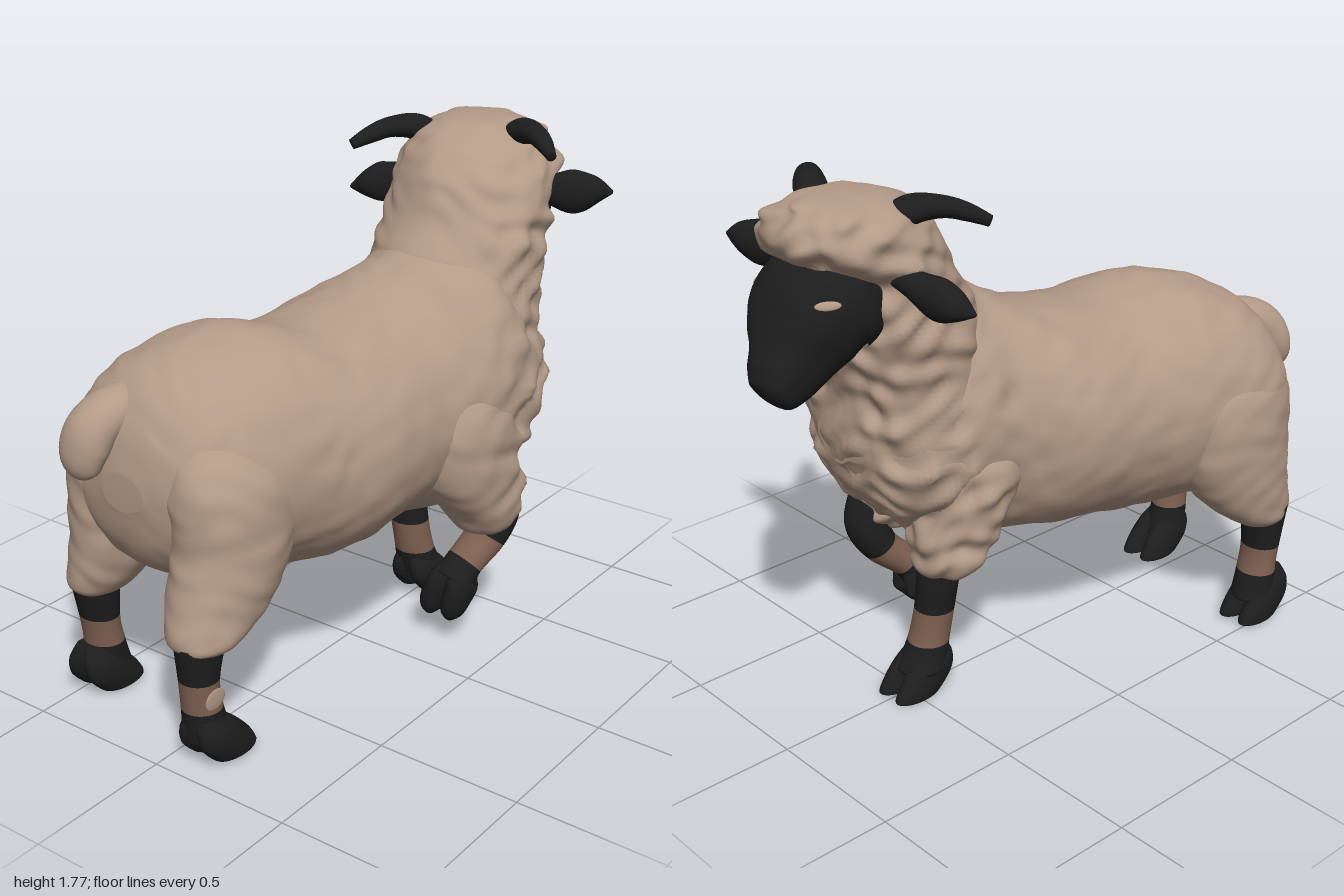
import * as THREE from 'three';

const mat = (name, color) => Object.assign(new THREE.MeshStandardMaterial({ color }), { name });
const V = (x, y, z) => new THREE.Vector3(x, y, z);
const X = V(1, 0, 0), Y = V(0, 1, 0), DOWN = V(0, -1, 0), Z = V(0, 0, 1);

// Woolly relief, strong on chest and crown, faint on the back and nape
function fleece(p) {
  const front = THREE.MathUtils.smoothstep(p.x - 0.3 * Math.max(0, p.y - 1), 0.05, 0.45);
  const a = Math.sin(25 * p.x + 2.2 * Math.sin(19 * p.y + 9 * p.z));
  const b = Math.sin(37 * p.y + 2 * Math.sin(18 * p.z + 6 * p.x));
  const c = Math.sin(33 * p.z + 2 * Math.sin(23 * p.x + 4 * p.y));
  return (0.003 + 0.01 * front) * (a * b + 0.8 * b * c + 0.3 * a);
}

// Smooth skin over elliptical stations [x, y, z, a, b]; b lies along "side", a across it.
// "axis" fixes the ring normal, "parts" gives the material index of each span,
// "full" squares off (below 1) or tapers (above 1) the two halves of each ring.
function loft(stations, { axis = null, side = Z, wool = false, sub = 8, seg = 28, parts = null, full = [1, 1] } = {}) {
  const n = stations.length, rings = (n - 1) * sub + 1;
  const at = (t) => {
    const i = Math.min(Math.floor(t), n - 2), f = t - i;
    const s = (k) => stations[Math.max(0, Math.min(n - 1, k))];
    return stations[0].map((_, k) => {
      const [p, q, r, w] = [s(i - 1)[k], s(i)[k], s(i + 1)[k], s(i + 2)[k]];
      const v = q + 0.5 * f * (r - p + f * (2 * p - 5 * q + 4 * r - w + f * (3 * (q - r) + w - p)));
      return k > 2 ? Math.max(v, 0.004) : v;
    });
  };
  const pos = [], idx = [], geo = new THREE.BufferGeometry();
  for (let i = 0; i < rings; i++) {
    const t = i / sub, c = at(t), p0 = at(Math.max(0, t - 0.05)), p1 = at(Math.min(n - 1, t + 0.05));
    const T = axis ? axis.clone() : V(p1[0] - p0[0], p1[1] - p0[1], p1[2] - p0[2]).normalize();
    const s = side.clone().addScaledVector(T, -side.dot(T)).normalize();
    const u = T.clone().cross(s);
    for (let j = 0; j < seg; j++) {
      const ang = (j / seg) * Math.PI * 2, q = full[ang < Math.PI ? 0 : 1];
      const bend = (v) => Math.sign(v) * Math.abs(v) ** q;
      const d = s.clone().multiplyScalar(c[4] * bend(Math.cos(ang))).addScaledVector(u, c[3] * bend(Math.sin(ang)));
      const p = V(c[0], c[1], c[2]).add(d);
      if (wool) p.addScaledVector(d.normalize(), fleece(p));
      pos.push(p.x, p.y, p.z);
    }
  }
  pos.push(...stations[0].slice(0, 3), ...stations[n - 1].slice(0, 3));
  const first = rings * seg, last = first + 1;
  for (let j = 0; j < seg; j++) idx.push(first, (j + 1) % seg, j);
  for (let i = 0; i < rings - 1; i++) for (let j = 0; j < seg; j++) {
    const k = (j + 1) % seg, a = i * seg, b = a + seg;
    idx.push(a + j, a + k, b + j, a + k, b + k, b + j);
  }
  const e = (rings - 1) * seg;
  for (let j = 0; j < seg; j++) idx.push(last, e + j, e + (j + 1) % seg);
  geo.setAttribute('position', new THREE.Float32BufferAttribute(pos, 3));
  geo.setIndex(idx);
  geo.computeVertexNormals();
  if (parts) {
    const span = sub * seg * 6, cap = seg * 3;
    parts.forEach((m, i) => geo.addGroup(
      i ? cap + i * span : 0, span + (i ? 0 : cap) + (i === parts.length - 1 ? cap : 0), m));
  }
  return geo;
}

export function createModel() {
  const g = new THREE.Group();
  const wool = mat('wool', 0xb39a87), black = mat('black', 0x1d1d1d), brown = mat('brown skin', 0x7e6051);
  const add = (name, geo, m) => {
    const mesh = new THREE.Mesh(geo, m);
    mesh.name = name;
    g.add(mesh);
    return mesh;
  };
  const fleecy = { wool: true, sub: 12, seg: 84 };

  // Barrel of the body, rump to chest
  add('body', loft([
    [-0.915, 0.85, -0.17, 0.06, 0.08],
    [-0.88, 0.85, -0.17, 0.2, 0.23],
    [-0.8, 0.86, -0.17, 0.31, 0.33],
    [-0.66, 0.87, -0.15, 0.38, 0.385],
    [-0.48, 0.875, -0.1, 0.415, 0.4],
    [-0.28, 0.855, -0.025, 0.395, 0.41],
    [0, 0.89, 0.015, 0.4, 0.4],
    [0.18, 0.93, 0.11, 0.45, 0.375],
    [0.3, 0.97, 0.13, 0.46, 0.36],
    [0.42, 0.93, 0.14, 0.37, 0.34],
    [0.54, 0.92, 0.14, 0.24, 0.28],
    [0.63, 0.93, 0.14, 0.08, 0.12],
  ], { ...fleecy, axis: X }), wool);

  // Neck and woolly head cap
  add('neckAndPoll', loft([
    [0.36, 0.62, 0.14, 0.12, 0.2],
    [0.35, 0.76, 0.14, 0.25, 0.33],
    [0.35, 0.97, 0.14, 0.29, 0.34],
    [0.385, 1.15, 0.13, 0.265, 0.305],
    [0.43, 1.33, 0.12, 0.28, 0.295],
    [0.485, 1.48, 0.12, 0.235, 0.285],
    [0.575, 1.61, 0.1, 0.27, 0.27],
    [0.615, 1.7, 0.08, 0.23, 0.21],
    [0.63, 1.75, 0.07, 0.13, 0.13],
    [0.63, 1.765, 0.07, 0.03, 0.03],
  ], { ...fleecy, axis: Y, full: [0.85, 1.12] }), wool);

  // Upper legs in wool
  const uppers = {
    hindLeftThigh: [[-0.66, 1.1, 0.0, 0.12, 0.1], [-0.66, 0.92, 0.055, 0.24, 0.175], [-0.69, 0.7, 0.075, 0.22, 0.175],
      [-0.76, 0.53, 0.08, 0.195, 0.15], [-0.84, 0.43, 0.09, 0.14, 0.115], [-0.87, 0.395, 0.1, 0.07, 0.07]],
    hindRightThigh: [[-0.63, 1.1, -0.31, 0.13, 0.1], [-0.635, 0.92, -0.365, 0.25, 0.17], [-0.645, 0.7, -0.39, 0.24, 0.165],
      [-0.69, 0.53, -0.41, 0.195, 0.14], [-0.75, 0.42, -0.44, 0.13, 0.1], [-0.77, 0.375, -0.45, 0.06, 0.06]],
    frontLeftShoulder: [[0.18, 1.1, 0.24, 0.1, 0.12], [0.18, 0.92, 0.3, 0.21, 0.185], [0.2, 0.7, 0.33, 0.22, 0.17],
      [0.255, 0.54, 0.36, 0.155, 0.14], [0.265, 0.455, 0.37, 0.1, 0.1], [0.265, 0.42, 0.37, 0.04, 0.04]],
    frontRightShoulder: [[0.24, 0.95, -0.06, 0.12, 0.12], [0.27, 0.82, -0.08, 0.18, 0.17], [0.32, 0.66, -0.075, 0.16, 0.155],
      [0.36, 0.54, -0.065, 0.125, 0.14], [0.38, 0.47, -0.055, 0.095, 0.115], [0.38, 0.44, -0.045, 0.05, 0.06]],
  };
  for (const [name, s] of Object.entries(uppers)) add(name, loft(s, { ...fleecy, seg: 56, axis: DOWN }), wool);

  // Tail hanging over the rump
  add('tail', loft([
    [-0.7, 1.09, -0.23, 0.06, 0.06], [-0.82, 1.085, -0.26, 0.07, 0.08], [-0.9, 1.04, -0.285, 0.075, 0.085],
    [-0.935, 0.97, -0.3, 0.065, 0.085], [-0.945, 0.905, -0.3, 0.045, 0.06], [-0.945, 0.875, -0.3, 0.01, 0.015],
  ]), wool);

  // Bare lower legs: black, brown band, black pastern
  const legs = {
    hindLeftLeg: [[-0.89, 0.43, 0.1, 0.085, 0.08], [-0.9, 0.305, 0.1, 0.064, 0.066],
      [-0.89, 0.2, 0.1, 0.066, 0.066], [-0.87, 0.09, 0.1, 0.08, 0.075]],
    hindRightLeg: [[-0.78, 0.44, -0.45, 0.085, 0.085], [-0.77, 0.285, -0.45, 0.062, 0.072],
      [-0.755, 0.185, -0.45, 0.064, 0.072], [-0.74, 0.09, -0.455, 0.08, 0.08]],
    frontRightLeg: [[0.37, 0.56, -0.035, 0.07, 0.08], [0.385, 0.42, -0.03, 0.07, 0.075],
      [0.395, 0.3, -0.02, 0.066, 0.07], [0.415, 0.18, -0.01, 0.07, 0.072], [0.45, 0.09, -0.01, 0.085, 0.085]],
    frontLeftLeg: [[0.345, 0.57, 0.37, 0.07, 0.072], [0.37, 0.46, 0.365, 0.078, 0.08],
      [0.335, 0.365, 0.345, 0.064, 0.075], [0.25, 0.285, 0.315, 0.058, 0.068], [0.2, 0.225, 0.3, 0.07, 0.075]],
  };
  for (const [name, s] of Object.entries(legs)) {
    const parts = s.length === 5 ? [0, 0, 1, 0] : [0, 1, 0];
    add(name, loft(s, { axis: name === 'frontLeftLeg' ? null : DOWN, parts }), [black, brown]);
  }

  // Cloven hooves, two toes each
  const hoof = (name, x, y, z) => {
    for (const k of [-1, 1]) add(name, loft([
      [x - 0.03, y + 0.17, z + k * 0.02, 0.04, 0.03],
      [x - 0.01, y + 0.12, z + k * 0.035, 0.08, 0.044],
      [x + 0.02, y + 0.065, z + k * 0.042, 0.1, 0.046],
      [x + 0.06, y + 0.012, z + k * 0.043, 0.092, 0.044],
      [x + 0.065, y, z + k * 0.043, 0.078, 0.038],
    ], { axis: DOWN }), black);
  };
  hoof('hindLeftHoof', -0.865, 0.012, 0.11);
  hoof('hindRightHoof', -0.78, 0.012, -0.455);
  hoof('frontRightHoof', 0.435, 0.004, -0.005);
  for (const k of [-1, 1]) add('frontLeftHoof', loft([
    [0.25, 0.27, 0.305 + k * 0.02, 0.04, 0.03], [0.215, 0.22, 0.295 + k * 0.036, 0.08, 0.045],
    [0.19, 0.165, 0.28 + k * 0.042, 0.065, 0.046], [0.175, 0.12, 0.27 + k * 0.042, 0.045, 0.038],
    [0.17, 0.09, 0.265 + k * 0.04, 0.012, 0.012],
  ]), black);

  // Thin pale spots: one on the hind leg band, one beside each eye
  const spot = (name, at, normal, w, h) => {
    const m = add(name, new THREE.SphereGeometry(1, 16, 10), wool);
    m.scale.set(w, h, 0.005);
    m.position.copy(at);
    m.lookAt(at.clone().add(normal));
  };
  spot('legPatch', V(-0.9, 0.25, 0.165), Z, 0.045, 0.035);
  spot('leftEyeFleck', V(0.825, 1.495, 0.243), V(0.45, 0.35, 0.8), 0.04, 0.014);
  spot('rightEyeFleck', V(0.825, 1.495, -0.095), V(0.45, 0.35, -0.8), 0.04, 0.014);

  // Dark, broad-cheeked face narrowing to the muzzle
  add('face', loft([
    [0.58, 1.475, 0.085, 0.13, 0.16], [0.67, 1.455, 0.08, 0.165, 0.2], [0.75, 1.42, 0.075, 0.165, 0.2],
    [0.815, 1.355, 0.06, 0.145, 0.172], [0.873, 1.295, 0.043, 0.118, 0.122], [0.932, 1.243, 0.03, 0.092, 0.092],
    [0.967, 1.218, 0.025, 0.06, 0.065], [0.976, 1.211, 0.025, 0.01, 0.01],
  ], { seg: 48, full: [0.85, 0.75] }), black);

  // Ears, flat and leaf shaped
  add('leftEar', loft([
    [0.65, 1.53, 0.27, 0.035, 0.035], [0.67, 1.53, 0.34, 0.05, 0.05], [0.69, 1.53, 0.42, 0.075, 0.05],
    [0.715, 1.54, 0.49, 0.05, 0.04], [0.73, 1.54, 0.55, 0.006, 0.008],
  ], { side: X }), black);
  add('rightEar', loft([
    [0.59, 1.54, -0.12, 0.035, 0.035], [0.57, 1.52, -0.18, 0.045, 0.045], [0.545, 1.49, -0.25, 0.07, 0.048],
    [0.525, 1.475, -0.31, 0.05, 0.045], [0.505, 1.46, -0.37, 0.006, 0.008],
  ], { side: X }), black);

  // Short horns sweeping back and outward
  add('leftHorn', loft([
    [0.63, 1.67, 0.2, 0.05, 0.055], [0.61, 1.725, 0.26, 0.047, 0.055], [0.56, 1.74, 0.34, 0.034, 0.042],
    [0.52, 1.725, 0.4, 0.028, 0.032], [0.48, 1.695, 0.455, 0.016, 0.016],
  ], { side: X }), black);
  add('rightHorn', loft([
    [0.55, 1.67, -0.04, 0.05, 0.05], [0.5, 1.715, -0.09, 0.045, 0.05], [0.43, 1.72, -0.145, 0.034, 0.04],
    [0.37, 1.7, -0.185, 0.028, 0.032], [0.315, 1.67, -0.225, 0.018, 0.018],
  ], { side: Z }), black);
  return g;
}
